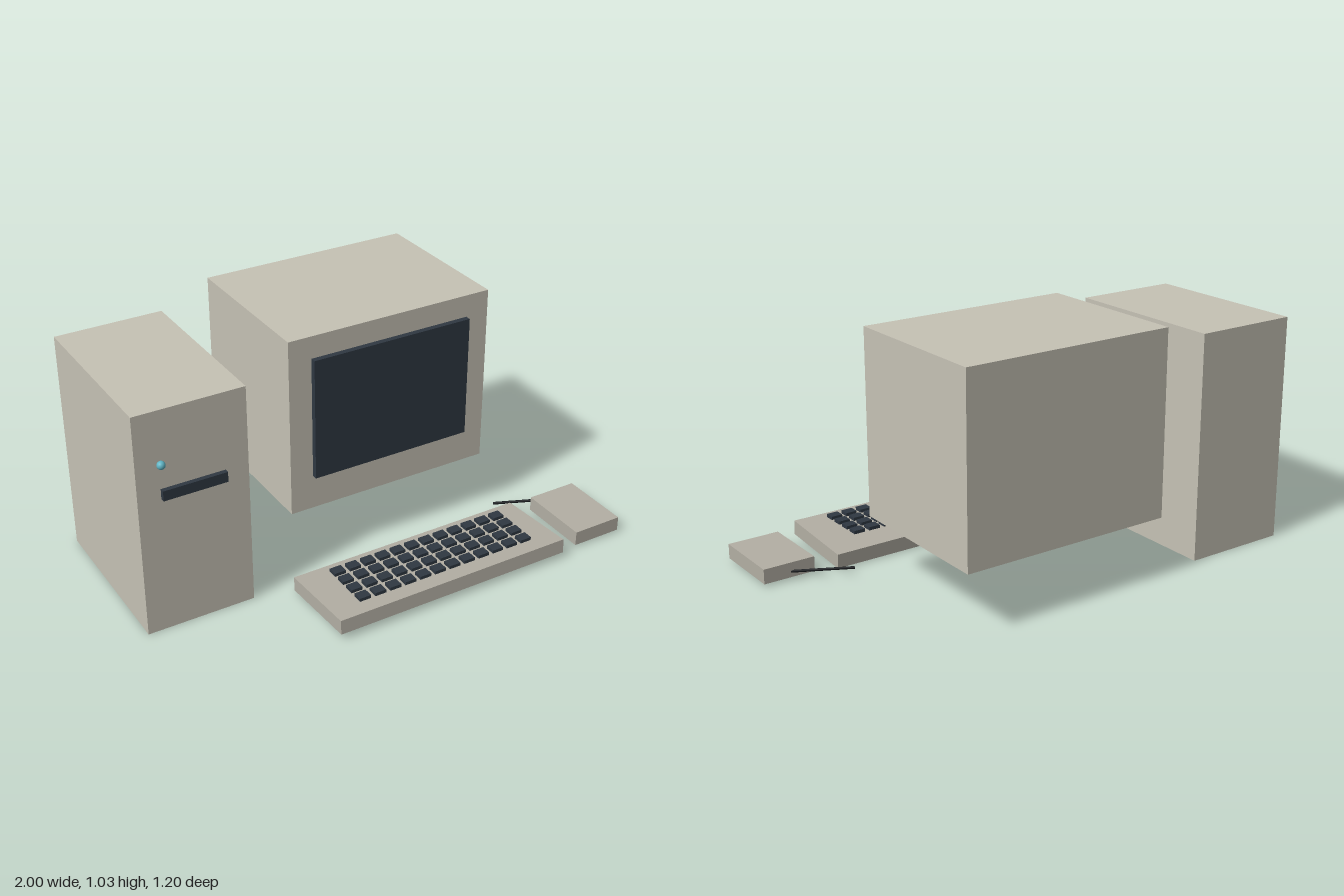
import * as THREE from 'three';

const material = (color) => new THREE.MeshStandardMaterial({ color });

export function createModel() {
  const model = new THREE.Group();
  model.name = 'desktopComputer';
  const beige = material(0xc6c2b5);
  const greige = material(0xb3afa4);
  const dark = material(0x2f3842);
  const black = material(0x15181c);
  const teal = material(0x5fb4c4);

  function add(name, geometry, mat, x, y, z, parent = model) {
    const mesh = new THREE.Mesh(geometry, mat);
    mesh.name = name;
    mesh.position.set(x, y, z);
    parent.add(mesh);
    return mesh;
  }

  // Box given by its extents along each axis
  function box(name, mat, [x0, x1], [y0, y1], [z0, z1], parent) {
    return add(name, new THREE.BoxGeometry(x1 - x0, y1 - y0, z1 - z0), mat,
      (x0 + x1) / 2, (y0 + y1) / 2, (z0 + z1) / 2, parent);
  }

  // Tower with drive slot and power light
  const tower = new THREE.Group();
  tower.name = 'tower';
  model.add(tower);
  box('towerCase', beige, [-1, -0.543], [0, 0.96], [-0.551, 0.187], tower);
  box('driveSlot', dark, [-0.905, -0.64], [0.589, 0.632], [0.182, 0.207], tower);
  add('powerLight', new THREE.SphereGeometry(0.017, 20, 12), teal, -0.902, 0.74, 0.2, tower);

  // Monitor with a slightly raised screen
  const monitor = new THREE.Group();
  monitor.name = 'monitor';
  model.add(monitor);
  box('monitorCase', beige, [-0.31, 0.61], [0.262, 1.033], [-0.598, 0.086], monitor);
  box('screen', dark, [-0.21, 0.508], [0.412, 0.938], [0.08, 0.11], monitor);

  // Tilted keyboard base
  const keyboard = new THREE.Group();
  keyboard.name = 'keyboard';
  model.add(keyboard);
  const base = add('keyboardBase', new THREE.BoxGeometry(1.065, 0.062, 0.369), greige,
    0.15, 0.047, 0.413, keyboard);
  base.rotation.x = -0.07;

  // Four rows of twelve level keys
  const keyGeometry = new THREE.BoxGeometry(0.05, 0.014, 0.042);
  for (let row = 0; row < 4; row++) {
    for (let col = 0; col < 12; col++) {
      add('key', keyGeometry, dark, -0.237 + col * 0.07, 0.104, 0.325 + row * 0.0633, keyboard);
    }
  }

  // Mouse and its cord
  const mouse = new THREE.Group();
  mouse.name = 'mouse';
  model.add(mouse);
  box('mouseBody', greige, [0.776, 1], [0.011, 0.074], [0.251, 0.565], mouse);
  const cordPath = new THREE.LineCurve3(
    new THREE.Vector3(0.65, 0.029, 0.15), new THREE.Vector3(0.88, 0.034, 0.256));
  add('mouseCord', new THREE.TubeGeometry(cordPath, 1, 0.006, 8), black, 0, 0, 0, mouse);

  return model;
}
